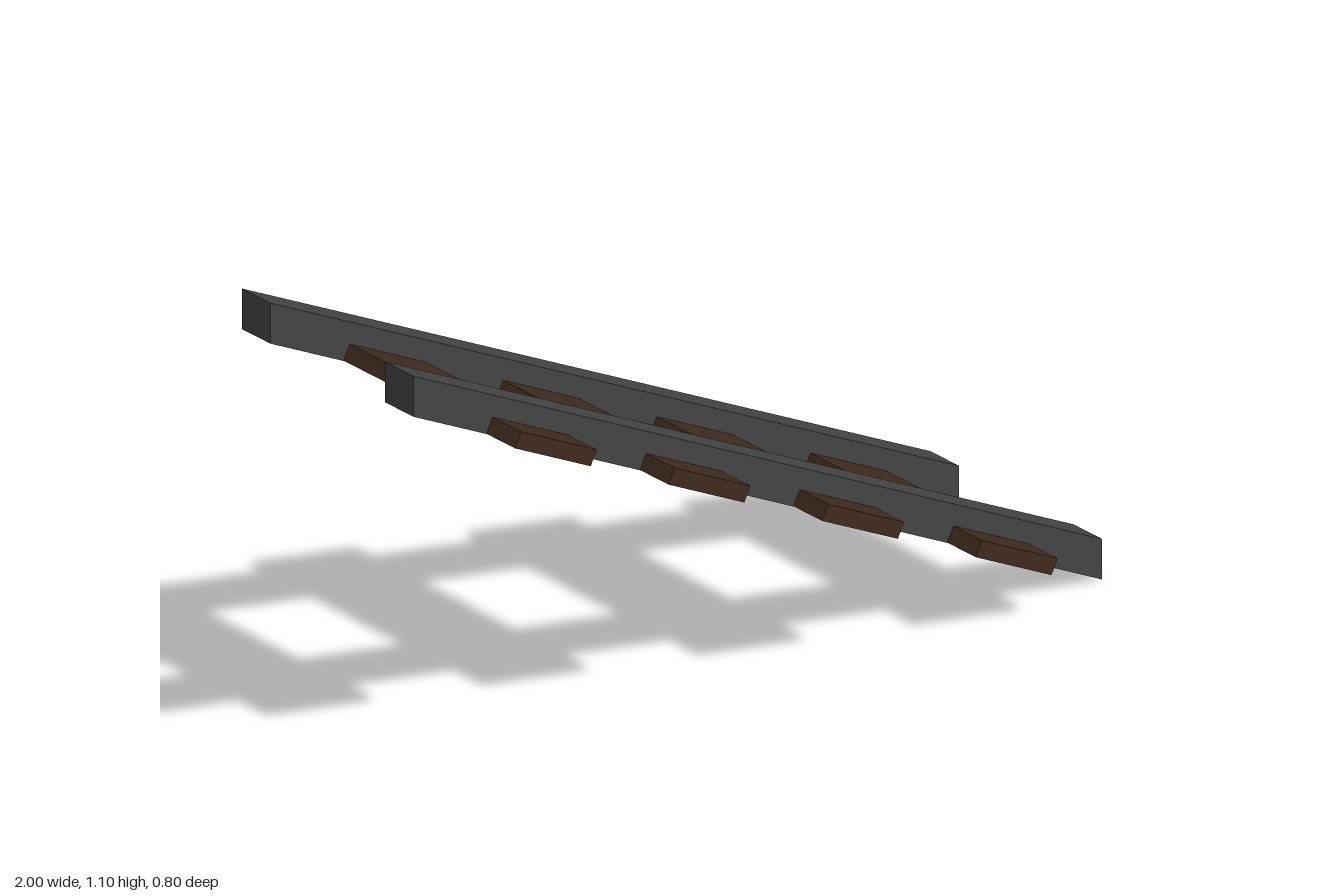
import * as THREE from 'three';

export function createModel() {
  const group = new THREE.Group();
  const railMaterial = new THREE.MeshStandardMaterial({ color: 0x444444, flatShading: true });
  const tieMaterial = new THREE.MeshStandardMaterial({ color: 0x3f2a1e, flatShading: true });
  const slope = -0.5;

  // Sloping rails: upright ends, so the box is sheared rather than turned
  const railGeometry = new THREE.BoxGeometry(2, 0.1, 0.1);
  const p = railGeometry.attributes.position;
  for (let i = 0; i < p.count; i++) p.setY(i, p.getY(i) + slope * p.getX(i));
  railGeometry.computeVertexNormals();
  for (const side of [1, -1]) {
    const rail = new THREE.Mesh(railGeometry, railMaterial);
    rail.name = side > 0 ? 'frontRail' : 'backRail';
    rail.position.set(0, 0.55, side * 0.25);
    group.add(rail);
  }

  // Flat cross ties, turned to follow the slope, near the underside of the rails
  const tieGeometry = new THREE.BoxGeometry(0.246, 0.04, 0.8);
  for (let i = 0; i < 4; i++) {
    const x = -0.669 + i * 0.446;
    const tie = new THREE.Mesh(tieGeometry, tieMaterial);
    tie.name = `tie${i + 1}`;
    tie.position.set(x, 0.523 + slope * x, 0);
    tie.rotation.z = Math.atan(slope);
    group.add(tie);
  }
  return group;
}
